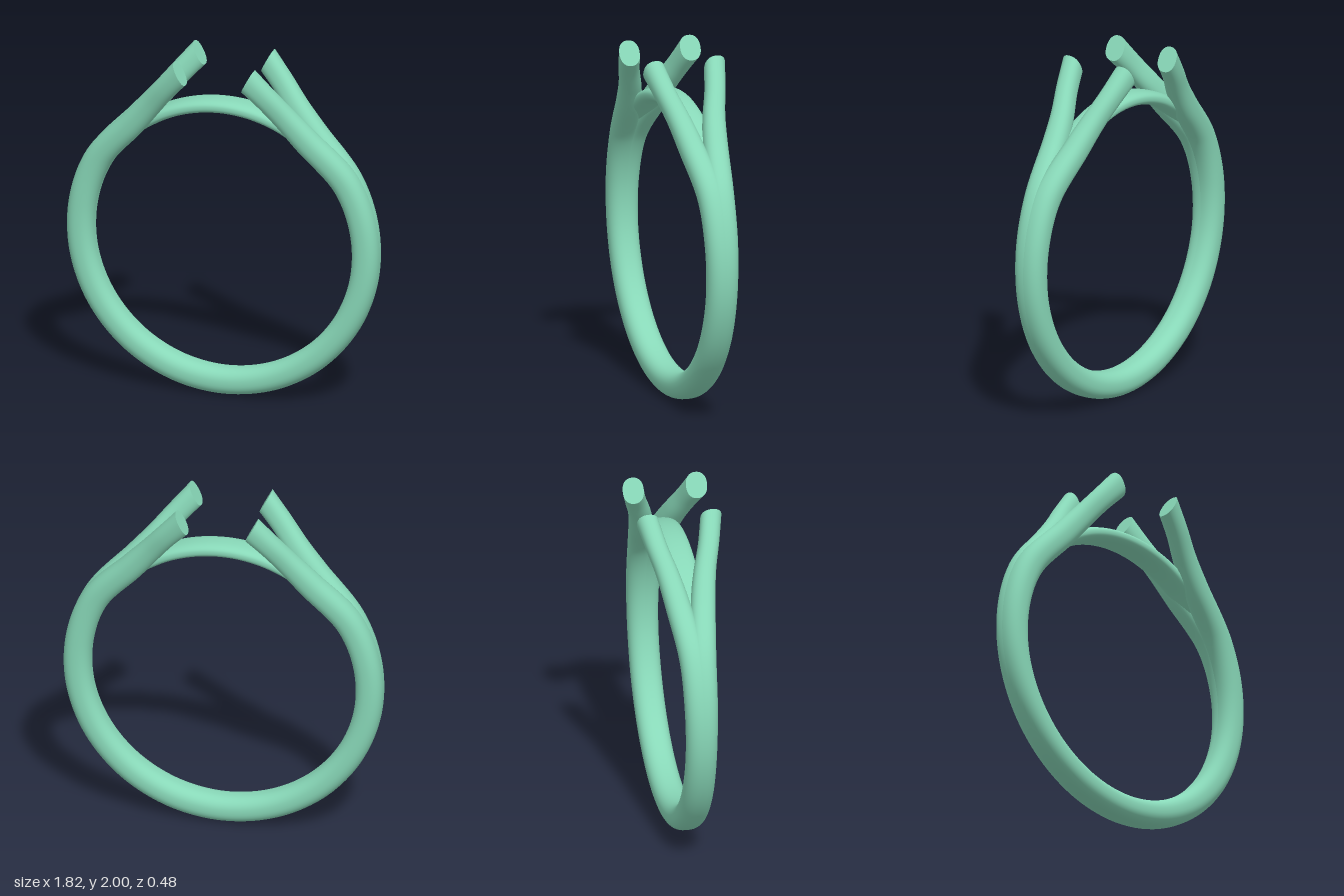
import * as THREE from 'three';

const CY = 0.913; // height of the ring centre

// Rounded, slightly squared section swept along rows of
// [x, y, z, halfWidth, halfThickness, endSlant], with flat end caps.
function sweep(rows, exponent, steps, sides) {
  const path = new THREE.CatmullRomCurve3(
    rows.map(r => new THREE.Vector3(r[0], r[1], r[2])), false, 'catmullrom');
  const size = new THREE.CatmullRomCurve3(
    rows.map(r => new THREE.Vector3(r[3], r[4], r[5])), false, 'catmullrom');
  const squash = v => Math.sign(v) * Math.pow(Math.abs(v), 2 / exponent);
  const pos = [], index = [];

  for (let i = 0; i <= steps; i++) {
    const c = path.getPoint(i / steps), s = size.getPoint(i / steps);
    const t = path.getTangent(i / steps).setZ(0).normalize();
    for (let j = 0; j < sides; j++) {
      const a = (j / sides) * Math.PI * 2;
      const n = s.y * squash(Math.cos(a)), w = s.x * squash(Math.sin(a));
      pos.push(c.x + n * (t.y + s.z * t.x), c.y + n * (-t.x + s.z * t.y), c.z + w);
    }
  }
  for (let i = 0; i < steps; i++) {
    for (let j = 0; j < sides; j++) {
      const k = (j + 1) % sides;
      const a = i * sides + j, b = i * sides + k;
      index.push(a, a + sides, b, b, a + sides, b + sides);
    }
  }
  // end caps use their own vertices so the rim stays sharp
  for (const end of [0, steps]) {
    const base = pos.length / 3;
    for (let j = 0; j < sides; j++) {
      const o = (end * sides + j) * 3;
      pos.push(pos[o], pos[o + 1], pos[o + 2]);
    }
    pos.push(...path.getPoint(end / steps).toArray());
    for (let j = 0; j < sides; j++) {
      const p = base + j, q = base + (j + 1) % sides;
      if (end === 0) index.push(base + sides, p, q);
      else index.push(base + sides, q, p);
    }
  }
  const geo = new THREE.BufferGeometry();
  geo.setAttribute('position', new THREE.Float32BufferAttribute(pos, 3));
  geo.setIndex(index);
  geo.computeVertexNormals();
  return geo;
}

// Half of one strand: circular band, then the prong that leaves it
function halfStrand(side) {
  const rows = [];
  const offset = [0.004, 0.004, 0.004, 0.004, 0.005, 0.012, 0.027];
  offset.forEach((z, i) => {
    const a = i * Math.PI / 9;
    rows.push([0.835 * Math.sin(a), CY - 0.835 * Math.cos(a), z, 0.083 - z * 0.22, 0.077, 0]);
  });
  rows.push(
    [0.515, 1.565, 0.072, 0.070, 0.073, 0],
    [0.400, 1.700, 0.105, 0.064, 0.067, 0],
    [0.300, 1.822, 0.147, 0.060, 0.065, 0.1],
    [0.200, 1.935, 0.180, 0.060, 0.069, 0.38]);
  return rows.map(([x, y, z, ...rest]) => [x, y, z * side, ...rest]);
}

export function createModel() {
  const group = new THREE.Group();
  group.name = 'splitShankRing';
  const material = new THREE.MeshStandardMaterial({ color: 0x88d8b8 });
  const add = (name, geo) => {
    const mesh = new THREE.Mesh(geo, material);
    mesh.name = name;
    group.add(mesh);
  };

  // Front and back strands merge in the band and fork into four prongs
  for (const [name, side] of [['frontStrand', 1], ['backStrand', -1]]) {
    const right = halfStrand(side);
    const left = right.slice(1).reverse()
      .map(([x, y, z, w, h, slant]) => [-x, y, z, w, h, -slant]);
    add(name, sweep([...left, ...right], 2.3, 200, 40));
  }

  // Thin bridge closing the circle between the prongs
  const bridge = [];
  for (let i = -4; i <= 4; i++) {
    const a = i * Math.PI / 16;
    const thin = Math.abs(i) === 4 ? 0.03 : 0.04;
    bridge.push([-0.798 * Math.sin(a), CY + 0.798 * Math.cos(a), 0, 0.085, thin, 0]);
  }
  add('bridge', sweep(bridge, 2.5, 64, 40));

  return group;
}
